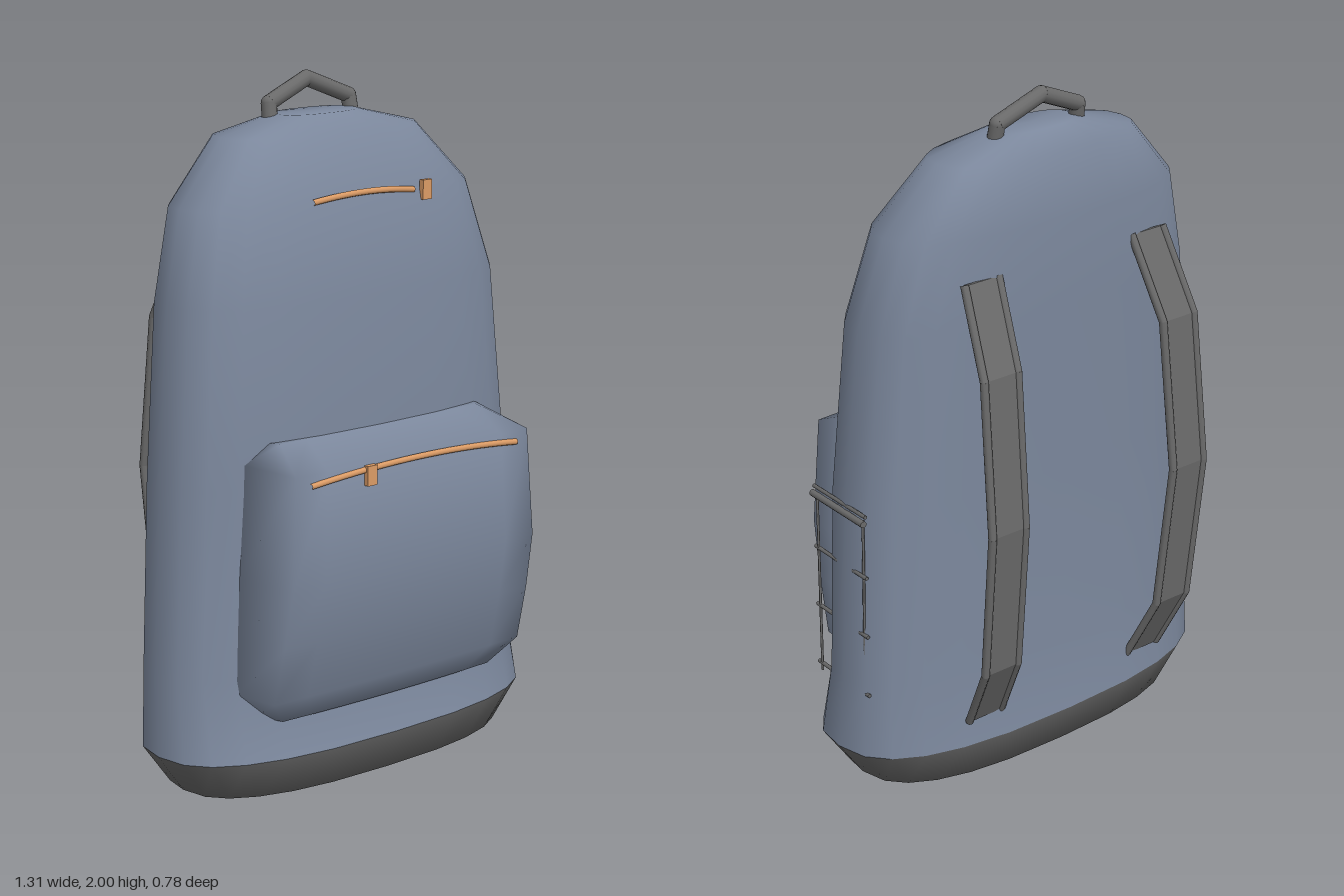
import * as THREE from 'three';
import { toCreasedNormals } from 'three/addons/utils/BufferGeometryUtils.js';

const V = (x, y, z) => new THREE.Vector3(x, y, z);

const material = (name, color) => new THREE.MeshStandardMaterial({ name, color });

// Skin a stack of closed rings (listed bottom to top) and cap the chosen ends.
function loft(rings, capBottom, capTop) {
  const pos = [], index = [], n = rings[0].length;
  rings.forEach(r => r.forEach(p => pos.push(p.x, p.y, p.z)));
  for (let i = 0; i < rings.length - 1; i++) {
    for (let j = 0; j < n; j++) {
      const k = (j + 1) % n, a = i * n, b = a + n;
      index.push(a + j, b + j, a + k, a + k, b + j, b + k);
    }
  }
  const cap = (level, up) => {
    const start = level * n, middle = pos.length / 3;
    const c = rings[level].reduce((s, p) => s.add(p), V(0, 0, 0)).divideScalar(n);
    pos.push(c.x, c.y, c.z);
    for (let j = 0; j < n; j++) {
      const a = start + j, b = start + (j + 1) % n;
      index.push(middle, up ? b : a, up ? a : b);
    }
  };
  if (capBottom) cap(0, false);
  if (capTop) cap(rings.length - 1, true);
  const g = new THREE.BufferGeometry();
  g.setAttribute('position', new THREE.Float32BufferAttribute(pos, 3));
  g.setIndex(index);
  g.computeVertexNormals();
  return g;
}

// Rounded, slightly boxy horizontal section of the bag.
function bagRing([y, w, front, back]) {
  const pw = (v, e) => Math.sign(v) * Math.abs(v) ** e;
  const e = 2 / 2.6, ring = [];
  for (let i = 0; i < 24; i++) {
    const a = i / 24 * Math.PI * 2;
    ring.push(V(w * pw(Math.cos(a), e), y,
      (front + back) / 2 + (front - back) / 2 * pw(Math.sin(a), e)));
  }
  return ring;
}

// Horizontal section of the front pocket, gently bowed across its face.
function pocketRing([y, w, front]) {
  const ring = [V(w, y, 0.165)], inner = w - 0.027;
  for (let i = 0; i <= 8; i++) {
    const t = 1 - i / 4;
    ring.push(V(inner * t, y, front - 0.012 * t * t));
  }
  ring.push(V(-w, y, 0.165));
  return ring;
}

// Round rods through a list of points, with a ball at each inner bend.
function rods(points, radius, mat, sides = 10) {
  const group = new THREE.Group();
  points.slice(1).forEach((b, i) => {
    const a = points[i], d = b.clone().sub(a);
    const rod = new THREE.Mesh(new THREE.CylinderGeometry(radius, radius, d.length(), sides), mat);
    rod.position.copy(a).add(b).multiplyScalar(0.5);
    rod.quaternion.setFromUnitVectors(V(0, 1, 0), d.normalize());
    rod.name = 'rod';
    group.add(rod);
    if (i > 0) {
      const joint = new THREE.Mesh(new THREE.SphereGeometry(radius, sides, 8), mat);
      joint.position.copy(a);
      joint.name = 'joint';
      group.add(joint);
    }
  });
  return group;
}

export function createModel() {
  const model = new THREE.Group();
  const fabric = material('blue grey fabric', 0x7c889d);
  const dark = material('dark grey trim', 0x6a6a6a);
  const orange = material('orange zip', 0xdc9c66);
  const add = (name, object, parent = model) => {
    object.name = name;
    parent.add(object);
    return object;
  };

  // Main bag: height, half width, front z, back z
  const base = [0.12, 0.655, 0.29, -0.262];
  const sections = [
    base, [0.35, 0.645, 0.22, -0.235], [0.9, 0.622, 0.222, -0.235],
    [1.4, 0.577, 0.2, -0.243], [1.66, 0.507, 0.145, -0.247],
    [1.84, 0.34, 0.065, -0.22], [1.888, 0.14, -0.01, -0.15],
  ];
  add('body', new THREE.Mesh(loft(sections.map(bagRing), false, true), fabric));
  add('base', new THREE.Mesh(loft([[0, 0.57, 0.25, -0.222], base].map(bagRing), true, false), dark));

  // Front pocket: height, half width, front z
  const pocket = [
    [0.23, 0.42, 0.262], [0.31, 0.492, 0.315], [0.48, 0.487, 0.355], [0.65, 0.48, 0.385],
    [0.97, 0.46, 0.374], [1.025, 0.395, 0.225],
  ];
  add('frontPocket', new THREE.Mesh(loft(pocket.map(pocketRing), true, true), fabric));

  // Zips with their pullers
  const zip = (name, half, y, rise, z, bow, px, py, pz) => {
    const curve = new THREE.QuadraticBezierCurve3(
      V(-half, y, z), V(0, y + rise * 2, z + bow * 2), V(half, y, z));
    const group = add(name, new THREE.Group());
    add('zipLine', new THREE.Mesh(new THREE.TubeGeometry(curve, 20, 0.009, 8), orange), group);
    const pull = add('puller', new THREE.Mesh(new THREE.BoxGeometry(0.034, 0.057, 0.016), orange), group);
    pull.position.set(px, py, pz);
  };
  zip('upperZip', 0.185, 1.668, 0.014, 0.136, 0.01, 0.228, 1.665, 0.142);
  zip('pocketZip', 0.385, 0.938, 0.024, 0.366, 0.012, -0.183, 0.94, 0.382);

  // Carry handle
  add('handle', rods([
    V(-0.15, 1.86, -0.095), V(-0.147, 1.918, -0.105), V(0, 1.977, -0.118),
    V(0.147, 1.918, -0.105), V(0.15, 1.86, -0.095),
  ], 0.023, dark, 12));

  // Shoulder straps: a flat band with round piping on both edges
  const path = [[0.2, -0.235], [0.4, -0.335], [0.85, -0.38], [1.3, -0.335], [1.54, -0.225]];
  for (const s of [-1, 1]) {
    const strap = add(s > 0 ? 'leftStrap' : 'rightStrap', new THREE.Group());
    const at = ([y, z], off, dz = 0) => V(s * (0.255 - 0.235 * z) + off, y, z + dz);
    const bands = path.map(p => [
      at(p, 0.06, 0.004), at(p, -0.06, 0.004), at(p, -0.06, -0.004), at(p, 0.06, -0.004),
    ]);
    add('band', new THREE.Mesh(toCreasedNormals(loft(bands, true, true), 0.15), dark), strap);
    for (const off of [-0.06, 0.06]) {
      add('piping', rods(path.map(p => at(p, off)), 0.012, dark, 8), strap);
    }
  }

  // Net side pocket: top rim, cross strands and upright strands
  const side = add('sideNet', new THREE.Group());
  add('rim', rods([V(0.613, 0.865, 0.16), V(0.633, 0.865, -0.1)], 0.01, dark), side);
  for (const y of [0.885, 0.695, 0.51, 0.322]) {
    add('crossStrand', rods([V(0.606, y, 0.16), V(0.626, y, -0.1)], 0.006, dark, 6), side);
  }
  add('frontStrand', rods([V(0.609, 0.865, 0.142), V(0.609, 0.3, 0.142)], 0.004, dark, 6), side);
  add('backStrand', rods([V(0.618, 0.865, -0.078), V(0.624, 0.3, -0.078)], 0.004, dark, 6), side);
  return model;
}
